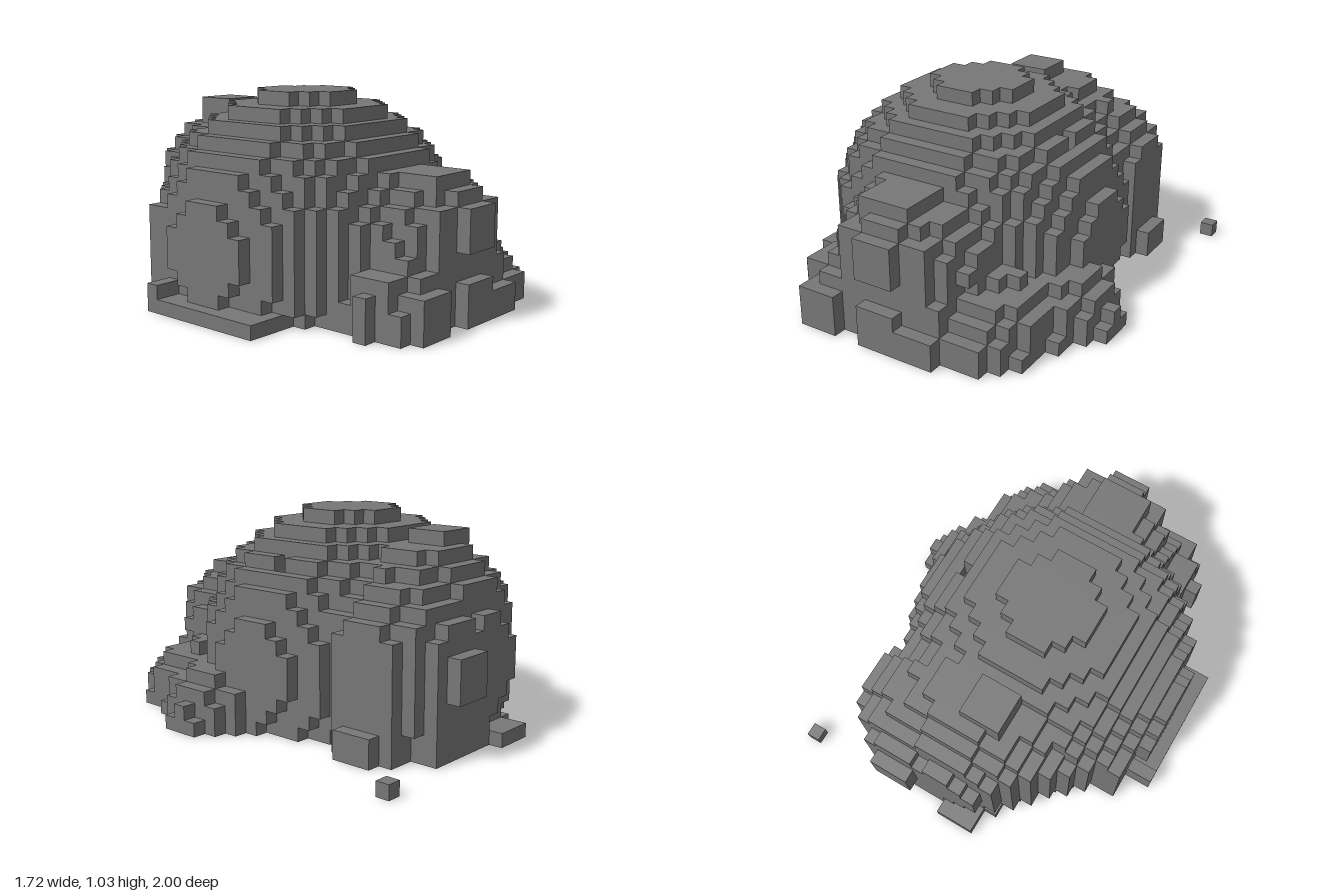
import * as THREE from 'three';

const S = 2 / 29;                 // edge length of one cube
const NX = 25, NY = 15, NZ = 29;  // size of the cube grid

// Rounded boulders: centre, then radii, in cubes
const boulders = [
  [11, 4, 14, 10.5, 10.5, 10.5],      // main dome
  [12.5, 5, 6, 7.2, 7.9, 5.45],       // tall rear boulder
  [16, 5, 5, 4.8, 5.8, 5.3],          // rear side boulder
  [18, 0, 18, 6.2, 4.4, 5],           // right foot
  [17, 0, 22, 5, 4.4, 5.4],           // front right foot
  [9, 1, 25, 5.3, 3.6, 2.95],         // front left foot
  [12, 5, 23, 5.6, 4.2, 4.6],         // front boulder
];

// Squared ledges: first and last cube along x, y and z
const ledges = [
  [10, 14, 3, 8, 18, 26], [11, 13, 3, 8, 27, 27],   // front boulder body
  [9, 15, 0, 7, 18, 27], [8, 16, 0, 3, 18, 27],
  [10, 13, 9, 9, 24, 26], [11, 13, 5, 7, 28, 28],   // front caps
  [6, 8, 0, 2, 28, 28], [11, 13, 0, 2, 28, 28], [14, 16, 0, 1, 28, 28],
  [5, 19, 0, 1, 22, 27], [6, 9, 0, 3, 19, 24],      // front base
  [0, 5, 0, 0, 10, 19], [0, 5, 1, 1, 10, 10],       // left slab
  [2, 5, 0, 6, 8, 9],                               // left rear ridge
  [10, 12, 13, 13, 5, 7],                           // rear cap
  [9, 12, 0, 0, 2, 4], [10, 12, 0, 0, 0, 1],        // rear pad
  [13, 18, 0, 7, 1, 6],                             // rear cliff
  [15, 20, 0, 8, 4, 6], [15, 20, 0, 6, 3, 7],
  [20, 21, 0, 1, 4, 6],                             // rear side step
  [24, 24, 0, 0, 0, 0],                             // loose pebble
];

const inBoulder = (i, j, k, [x, y, z, a, b, c]) =>
  ((i - x) / a) ** 2 + ((j - y) / b) ** 2 + ((k - z) / c) ** 2 <= 1;
const inLedge = (i, j, k, [a, b, c, d, e, f]) =>
  i >= a && i <= b && j >= c && j <= d && k >= e && k <= f;
const inCore = (i, j, k) => inBoulder(i, j, k, [11, 4, 14, 8.63, 8.63, 8.63]);
// Diagonal cuts that taper the rear
const inTaper = (i, k) => k > 8 || (i + k >= 11 && i - k <= 17 && i + k <= 27);

function isSolid(i, j, k) {
  if (i === 18 && k === 14 && j > 9) return false;  // small pit down to the core
  return (inTaper(i, k) && boulders.some((b) => inBoulder(i, j, k, b)))
    || ledges.some((l) => inLedge(i, j, k, l));
}

// Builds the exposed cube faces of every solid cube that passes the test
function cubeSurface(solid, test) {
  const positions = [], normals = [], index = [];
  for (let i = 0; i < NX; i++) for (let j = 0; j < NY; j++) for (let k = 0; k < NZ; k++) {
    if (!solid(i, j, k) || !test(i, j, k)) continue;
    const c = [(i - 12) * S, (j + 0.5) * S, (k - 14) * S];
    for (let axis = 0; axis < 3; axis++) for (const sign of [-1, 1]) {
      const n = [0, 0, 0];
      n[axis] = sign;
      if (solid(i + n[0], j + n[1], k + n[2])) continue;
      const u = (axis + 1) % 3, v = (axis + 2) % 3;
      const first = positions.length / 3;
      for (const [p, q] of [[-1, -1], [1, -1], [1, 1], [-1, 1]]) {
        const corner = [...c];
        corner[axis] += sign * S / 2;
        corner[u] += p * S / 2;
        corner[v] += q * sign * S / 2;
        positions.push(...corner);
        normals.push(...n);
      }
      index.push(first, first + 1, first + 2, first, first + 2, first + 3);
    }
  }
  const geometry = new THREE.BufferGeometry();
  geometry.setAttribute('position', new THREE.Float32BufferAttribute(positions, 3));
  geometry.setAttribute('normal', new THREE.Float32BufferAttribute(normals, 3));
  geometry.setIndex(index);
  return geometry;
}

export function createModel() {
  const group = new THREE.Group();
  group.name = 'blockyRockPile';

  // Grid of solid cubes, worked out once
  const filled = new Set();
  const key = (i, j, k) => (i * 64 + j) * 64 + k;
  for (let i = 0; i < NX; i++) for (let j = 0; j < NY; j++) for (let k = 0; k < NZ; k++) {
    if (isSolid(i, j, k)) filled.add(key(i, j, k));
  }
  const solid = (i, j, k) => i >= 0 && j >= 0 && k >= 0 && filled.has(key(i, j, k));

  const stone = new THREE.MeshStandardMaterial({ color: 0x777777 });
  stone.name = 'grey stone';
  const darkStone = new THREE.MeshStandardMaterial({ color: 0x4f4f4f });
  darkStone.name = 'dark stone';

  // Outer rock
  const shell = new THREE.Mesh(cubeSurface(solid, (i, j, k) => !inCore(i, j, k)), stone);
  shell.name = 'rockShell';
  // Dark core, seen underneath and in the pit
  const core = new THREE.Mesh(cubeSurface(solid, inCore), darkStone);
  core.name = 'rockCore';
  group.add(shell, core);
  return group;
}
